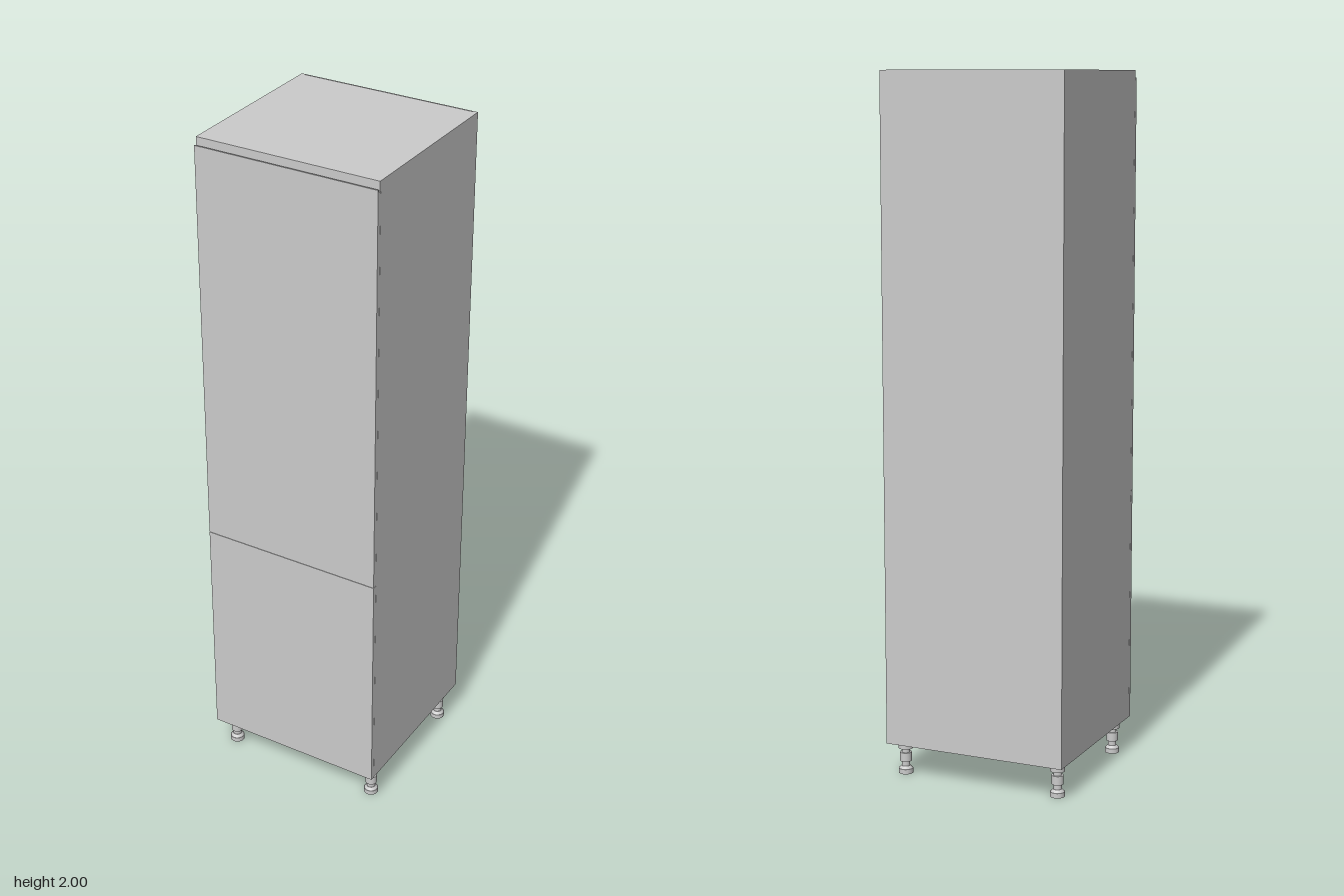
import * as THREE from 'three';

const grey = new THREE.MeshStandardMaterial({ color: 0xcccccc });

// Box given by its min and max corners
function panel(name, [x0, y0, z0], [x1, y1, z1]) {
  const mesh = new THREE.Mesh(new THREE.BoxGeometry(x1 - x0, y1 - y0, z1 - z0), grey);
  mesh.name = name;
  mesh.position.set((x0 + x1) / 2, (y0 + y1) / 2, (z0 + z1) / 2);
  return mesh;
}

// Adjustable leg: mounting socket, threaded stem with nut, round foot
function makeLeg(x, z) {
  const leg = new THREE.Group();
  leg.name = 'leg';
  const part = (name, rTop, rBottom, y0, y1, sides = 20) => {
    const mesh = new THREE.Mesh(new THREE.CylinderGeometry(rTop, rBottom, y1 - y0, sides), grey);
    mesh.name = name;
    mesh.position.y = (y0 + y1) / 2;
    leg.add(mesh);
  };
  part('socket', 0.021, 0.021, 0.074, 0.098);
  part('stem', 0.012, 0.012, 0.01, 0.076);
  part('collar', 0.017, 0.017, 0.036, 0.062);
  part('footNeck', 0.013, 0.02, 0.014, 0.022);
  part('foot', 0.021, 0.021, 0, 0.014);
  leg.position.set(x, 0, z);
  return leg;
}

export function createModel() {
  const model = new THREE.Group();
  model.name = 'tallCabinet';

  const W = 0.272, T = 0.014, inner = W - T;
  const bottom = 0.098, top = 2, back = -0.263, front = 0.249;

  // Hollow carcass
  for (const s of [-1, 1]) {
    const a = s < 0 ? -W : inner;
    model.add(panel(s < 0 ? 'rightSide' : 'leftSide', [a, bottom, back], [a + T, top, front]));
  }
  model.add(panel('topPanel', [-inner, top - T, -0.259], [inner, top, front]));
  model.add(panel('bottomPanel', [-inner, bottom, -0.259], [inner, bottom + T, front]));
  model.add(panel('backPanel', [-W, bottom, back - 0.0005], [W, top, back + 0.001]));

  // Doors, separated by a fine joint
  const seam = 0.787, doorTop = 1.972;
  model.add(panel('lowerDoor', [-W, bottom, 0.2495], [W, seam - 0.0006, 0.262]));
  model.add(panel('upperDoor', [-W, seam + 0.0006, 0.2495], [W, doorTop, 0.262]));

  // Recessed strip above the doors and the thin grip lip on the upper door
  model.add(panel('topRail', [-W, doorTop, front], [W, top, 0.2525]));
  model.add(panel('gripLip', [-W, doorTop, 0.258], [W, 1.979, 0.262]));

  for (const x of [-0.238, 0.238])
    for (const z of [-0.21, 0.204]) model.add(makeLeg(x, z));

  return model;
}
